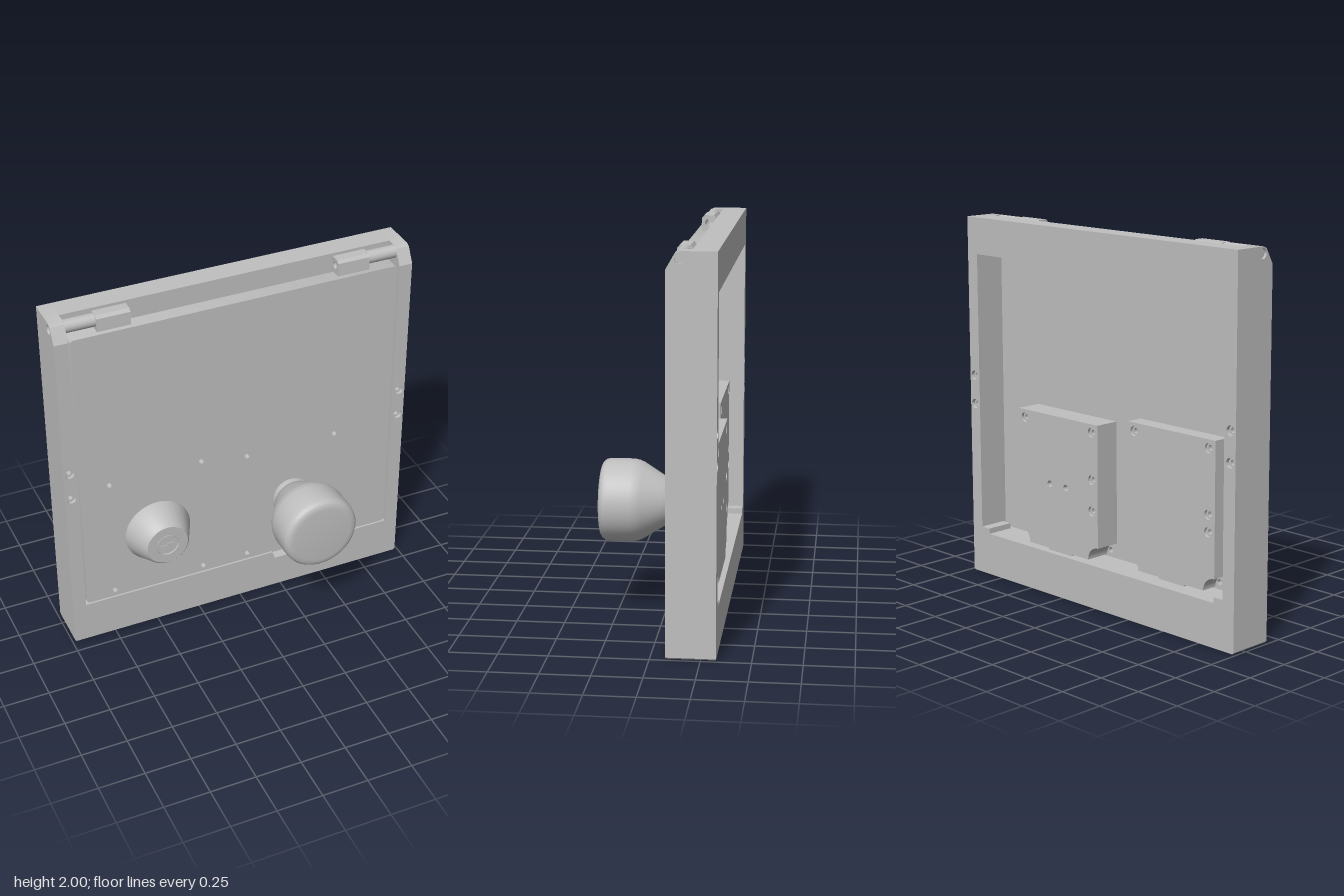
import * as THREE from 'three';
import { toCreasedNormals } from 'three/addons/utils/BufferGeometryUtils.js';

const BACK = -0.325, FRONT = -0.077, DOOR_BACK = -0.16;

export function createModel() {
  const model = new THREE.Group();
  const grey = new THREE.MeshStandardMaterial({ color: 0xbfbfbf });
  grey.name = 'satin grey';

  const add = (name, geo, x = 0, y = 0, z = 0) => {
    const mesh = new THREE.Mesh(geo, grey);
    mesh.name = name;
    mesh.position.set(x, y, z);
    model.add(mesh);
    return mesh;
  };
  const box = (name, x0, x1, y0, y1, z0, z1) =>
    add(name, new THREE.BoxGeometry(x1 - x0, y1 - y0, z1 - z0), (x0 + x1) / 2, (y0 + y1) / 2, (z0 + z1) / 2);
  const polygon = pts => new THREE.Shape(pts.map(([x, y]) => new THREE.Vector2(x, y)));
  const drill = (shape, x, y, r) => shape.holes.push(new THREE.Path().absarc(x, y, r, 0, Math.PI * 2, true));
  const extrude = (shape, depth) => toCreasedNormals(
    new THREE.ExtrudeGeometry(shape, { depth, bevelEnabled: false, curveSegments: 12 }), 0.6);
  // front outline pushed along z
  const slab = (name, shape, z0, z1) => add(name, extrude(shape, z1 - z0), 0, 0, z0);
  // side outline of (-z, y) points pushed along x
  const sideSlab = (name, shape, x0, x1) => add(name, extrude(shape, x1 - x0).rotateY(Math.PI / 2), x0, 0, 0);
  // turned part facing +z, profile of [radius, z]
  const turned = (name, pts, x, y) => add(name, toCreasedNormals(
    new THREE.LatheGeometry(pts.map(([r, z]) => new THREE.Vector2(r, z)), 48).rotateX(Math.PI / 2), 0.45), x, y);
  const washer = (outer, inner) => {
    const s = new THREE.Shape().absarc(0, 0, outer, 0, Math.PI * 2);
    drill(s, 0, 0, inner);
    return s;
  };

  // U-shaped frame with screw holes; its front layer has a finger notch
  const uFrame = notch => {
    const s = polygon([[-0.985, 0.008], [-0.977, 0], [0.977, 0], [0.985, 0.008], [0.985, 1.91], [0.91, 1.91], [0.91, 0.235],
      ...(notch ? [[0.4, 0.235], [0.385, 0.19], [0.215, 0.19], [0.2, 0.235]] : []),
      [-0.91, 0.235], [-0.91, 1.91], [-0.985, 1.91]]);
    for (const x of [-0.95, 0.95]) for (const y of [0.965, 1.125]) drill(s, x, y, 0.026);
    return s;
  };
  slab('frameBack', uFrame(false), BACK, -0.13);
  slab('frameFront', uFrame(true), -0.13, FRONT);
  box('frameTopBar', -0.91, 0.91, 1.8, 2, BACK, -0.2);

  for (const s of [-1, 1]) {
    const span = (a, b) => (s > 0 ? [a, b] : [-b, -a]);
    // chamfered wall top with pin hole
    const cheek = polygon([[-FRONT, 1.91], [-BACK, 1.91], [-BACK, 2], [0.145, 2], [0.122, 1.99]]);
    drill(cheek, 0.147, 1.965, 0.026);
    sideSlab('frameCheek', cheek, ...span(0.91, 0.985));
    const sleeve = washer(0.026, 0.014);
    for (const y of [0.965, 1.125])
      add('screwSleeve', extrude(sleeve, 0.21), s * 0.95, y, BACK + 0.02);
    // hinge pin and door knuckle
    const [p0, p1] = span(0.75, 0.97);
    add('hingePin', new THREE.CylinderGeometry(0.026, 0.026, p1 - p0, 24).rotateZ(Math.PI / 2), (p0 + p1) / 2, 1.965, -0.147);
    const [r0, r1] = span(0.75, 0.91);
    add('hingeRod', new THREE.CylinderGeometry(0.035, 0.035, r1 - r0, 24).rotateZ(Math.PI / 2), (r0 + r1) / 2, 1.965, -0.147);
    const knuckle = polygon([[0.105, 1.905], [0.19, 1.905], [0.19, 1.98], [0.175, 2], [0.125, 2], [0.11, 1.985]]);
    drill(knuckle, 0.147, 1.96, 0.02);
    sideSlab('hingeKnuckle', knuckle, ...span(0.57, 0.75));
    // stops in the lower corners of the opening
    box('cornerStop', ...span(0.85, 0.91), 0.235, 0.265, BACK, -0.17);
  }

  // door with rounded corners
  const door = new THREE.Shape();
  const r = 0.02, L = 0.901, B = 0.242, T = 1.915;
  door.absarc(L - r, B + r, r, -Math.PI / 2, 0);
  door.absarc(L - r, T - r, r, 0, Math.PI / 2);
  door.absarc(-L + r, T - r, r, Math.PI / 2, Math.PI);
  door.absarc(-L + r, B + r, r, Math.PI, Math.PI * 1.5);
  const boltHoles = [];
  for (const [xa, xb, top] of [[-0.74, -0.22, 0.99], [0.045, 0.565, 0.945]])
    for (const x of [xa, xb]) for (const y of [0.28, top]) boltHoles.push([x, y]);
  boltHoles.forEach(([x, y]) => drill(door, x, y, 0.015));
  slab('door', door, DOOR_BACK, -0.08);

  // lock cases behind the door, notched round their lower screws
  const lockCase = (name, x0, x1, top, back, holes) => {
    const n = 0.075, y0 = 0.25;
    const s = new THREE.Shape();
    s.moveTo(x0 + n, y0);
    s.lineTo(x1 - n, y0);
    s.absarc(x1, y0, n, Math.PI, Math.PI / 2, true);
    s.lineTo(x1, top);
    s.lineTo(x0, top);
    s.lineTo(x0, y0 + n);
    s.absarc(x0, y0, n, Math.PI / 2, 0, true);
    holes.forEach(([x, y, hr]) => drill(s, x, y, hr));
    slab(name, s, back, DOOR_BACK);
    // recessed screw rings in the larger holes
    for (const [x, y, hr] of holes) if (hr > 0.02)
      add('caseScrew', extrude(washer(hr, 0.014), 0.03), x, y, back + 0.015);
    box('lockBolt', (x0 + x1) / 2 - 0.09, (x0 + x1) / 2 + 0.09, 0.236, y0, back + 0.01, DOOR_BACK);
  };
  lockCase('knobLockCase', 0, 0.61, 0.99, -0.3,
    [[0.565, 0.945, 0.026], [0.045, 0.945, 0.026], [0.045, 0.69, 0.026], [0.045, 0.52, 0.026], [0.37, 0.61, 0.018], [0.245, 0.61, 0.018]]);
  lockCase('keyLockCase', -0.785, -0.175, 1.035, -0.25,
    [[-0.22, 0.99, 0.026], [-0.74, 0.99, 0.026], [-0.74, 0.65, 0.026], [-0.74, 0.56, 0.026]]);

  // key lock: cone, recessed cylinder and key slot
  turned('keyLockCone', [[0.185, -0.08], [0.185, -0.072], [0.125, 0.055], [0.115, 0.065], [0.064, 0.065], [0.064, 0.05]], -0.48, 0.615);
  turned('keyCylinder', [[0.064, 0.05], [0.058, 0.05], [0.058, 0.062], [0.04, 0.062], [0, 0.062]], -0.48, 0.615);
  const key = polygon([[-0.52, 0.607], [-0.47, 0.607], [-0.455, 0.6], [-0.44, 0.607], [-0.44, 0.625], [-0.48, 0.625], [-0.485, 0.615], [-0.52, 0.615]]);
  slab('keySlot', key, 0.06, 0.066);

  // turning knob on its neck
  turned('knobNeck', [[0.1, -0.081], [0.1, -0.05], [0.117, -0.05], [0.117, -0.03], [0.105, -0.03]], 0.305, 0.615);
  turned('knob', [[0, -0.035], [0.108, -0.035], [0.118, -0.025], [0.135, 0.005], [0.198, 0.105], [0.209, 0.13], [0.215, 0.16],
    [0.215, 0.28], [0.211, 0.3], [0.2, 0.315], [0.185, 0.323], [0.165, 0.325], [0, 0.325]], 0.305, 0.615);

  return model;
}
